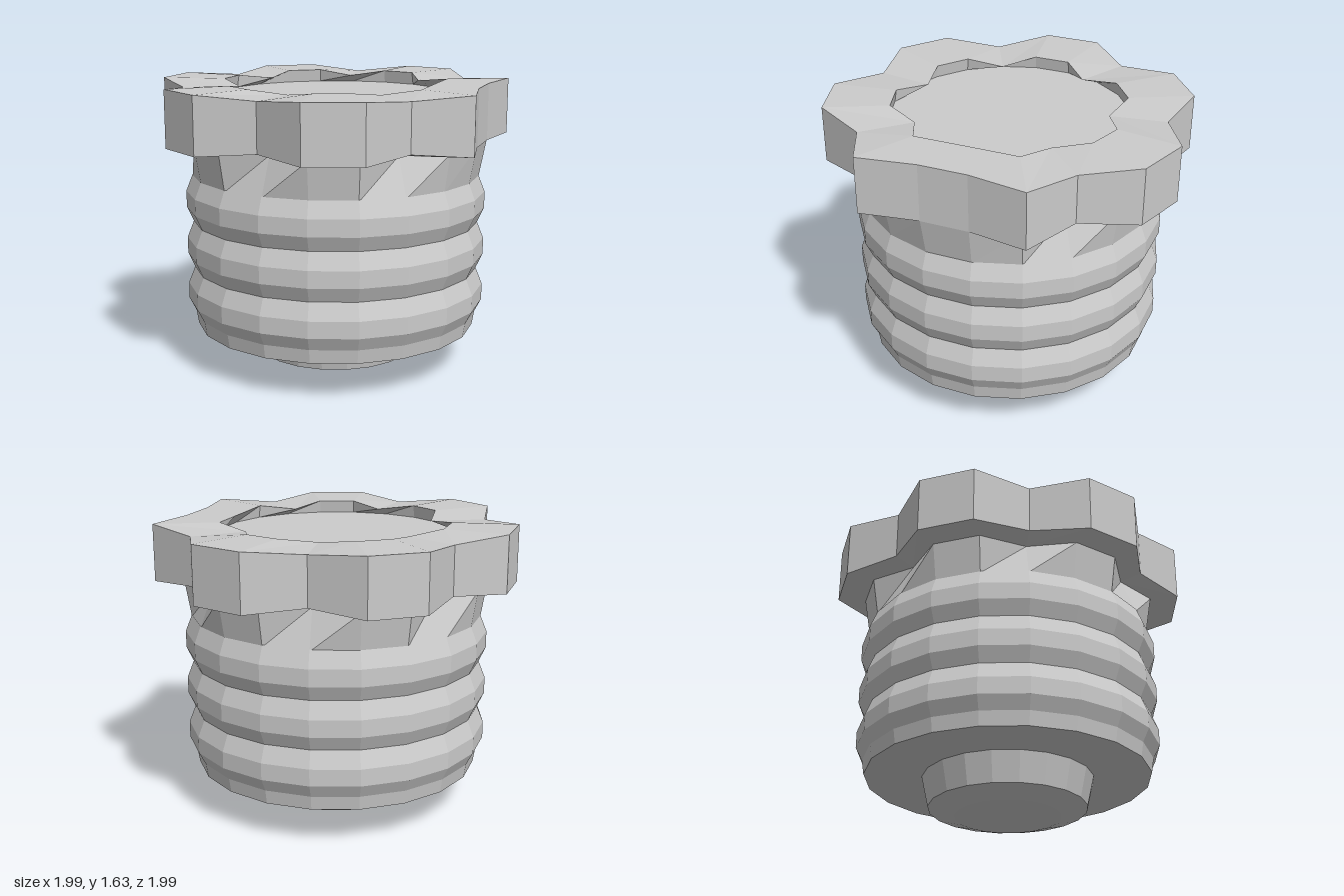
import * as THREE from 'three';

const SIDES = 20;
// L = lobe, V = valley, S = shallow flat; one letter per side, from +z towards +x
const PATTERN = 'LLVLSSLVLLVLLVLLVLLV';

// A ring is [radius, y]; each value is a number or a {L, V, S} table
const pick = (v, i) => (typeof v === 'number' ? v : v[PATTERN[i]]);

function ringPoint(ring, i) {
  const k = i % SIDES, a = (k / SIDES) * Math.PI * 2, r = pick(ring[0], k);
  return [Math.sin(a) * r, pick(ring[1], k), Math.cos(a) * r];
}

// Skin a list of rings; the order of rings runs up the outside
function skin(name, rings, material) {
  const pos = [];
  for (let j = 0; j + 1 < rings.length; j++) {
    for (let i = 0; i < SIDES; i++) {
      const a = ringPoint(rings[j], i), b = ringPoint(rings[j], i + 1);
      const c = ringPoint(rings[j + 1], i + 1), d = ringPoint(rings[j + 1], i);
      if (rings[j][0] !== 0) pos.push(...a, ...b, ...c);
      if (rings[j + 1][0] !== 0) pos.push(...a, ...c, ...d);
      else if (rings[j][0] === 0) continue;
    }
  }
  const geo = new THREE.BufferGeometry();
  geo.setAttribute('position', new THREE.Float32BufferAttribute(pos, 3));
  geo.computeVertexNormals();
  const mesh = new THREE.Mesh(geo, material);
  mesh.name = name;
  return mesh;
}

export function createModel() {
  const group = new THREE.Group();
  group.name = 'scallopedCap';
  const material = new THREE.MeshStandardMaterial({ color: 0xcccccc, flatShading: true });

  // Tapered plug under the body
  const plug = [[0, 0], [0.3, 0.005], [0.45, 0.05], [0.488, 0.22]];

  // Ribbed body: three rounded ribs above a short foot
  const body = [[0.488, 0.22], [0.812, 0.22], [0.825, 0.3]];
  for (let n = 0; n < 3; n++) {
    const y = 0.375 + n * 0.273;
    body.push([0.863, y], [0.863, y + 0.095], [0.825, y + 0.19]);
  }

  // Neck flares under the lobes and narrows under the valleys
  const neckTop = [{ L: 0.86, V: 0.74, S: 0.865 }, 1.312];
  const neck = [[0.825, 1.1], neckTop];

  // Scalloped rim with an undercut lip
  const outer = { L: 1.02, V: 0.864, S: 0.867 };
  const inner = { L: 0.652, V: 0.547, S: 0.587 };
  const top = { L: 1.632, V: 1.607, S: 1.632 };
  const bottom = { L: 1.312, V: 1.335, S: 1.312 };
  const seat = [0.664, 1.56];
  const rim = [neckTop, [outer, bottom], [outer, top], [inner, top], seat];

  // Flat disc at the bottom of the recess
  const disc = [seat, [0, 1.56]];

  group.add(
    skin('plug', plug, material),
    skin('ribbedBody', body, material),
    skin('neck', neck, material),
    skin('scallopedRim', rim, material),
    skin('recessedDisc', disc, material),
  );
  // The lobes are uneven, so the axis sits slightly off centre
  group.children.forEach((m) => m.position.set(0.022, 0, -0.022));
  return group;
}
